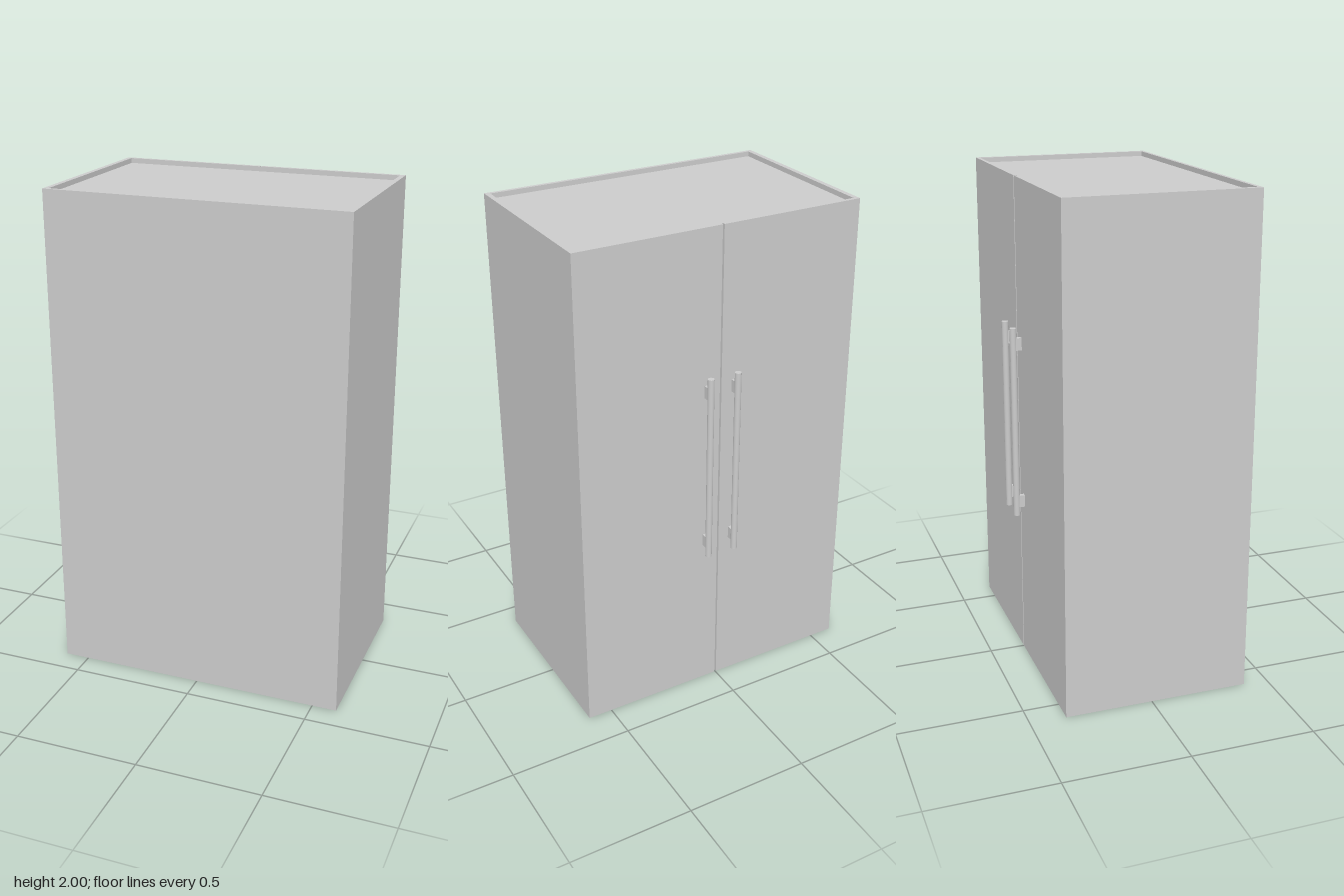
import * as THREE from 'three';

const material = new THREE.MeshStandardMaterial({ color: 0xcccccc });
const BACK = -0.355, FRONT = 0.4, HALF = 0.6;
const TOP = 2, RECESS = 0.02, GAP = 0.004, GROOVE = 0.012;

function addMesh(parent, geometry, name, x = 0, y = 0, z = 0) {
  const mesh = new THREE.Mesh(geometry, material);
  mesh.name = name;
  mesh.position.set(x, y, z);
  parent.add(mesh);
  return mesh;
}

// Plan drawn in (x, -z), so that extruding and tipping it up gives height along y
function polygon(points, Type = THREE.Shape) {
  return new Type(points.map(([x, z]) => new THREE.Vector2(x, -z)));
}

function extrudeUp(shape, height) {
  return new THREE.ExtrudeGeometry(shape, { depth: height, bevelEnabled: false })
    .rotateX(-Math.PI / 2);
}

// Outline of the cabinet with the narrow groove between its two doors
function outline() {
  return polygon([
    [-HALF, FRONT], [HALF, FRONT], [HALF, BACK],
    [GAP, BACK], [GAP, BACK + GROOVE], [-GAP, BACK + GROOVE], [-GAP, BACK],
    [-HALF, BACK],
  ]);
}

function createHandle(x) {
  const handle = new THREE.Group();
  handle.name = 'doorHandle';
  const barZ = -0.387;
  // Upright round bar
  addMesh(handle, new THREE.CylinderGeometry(0.013, 0.013, 0.785, 24), 'handleBar', x, 1.0275, barZ);
  // Mounts joining the bar to the door
  const depth = BACK - barZ;
  for (const y of [0.695, 1.355]) {
    addMesh(handle, new THREE.BoxGeometry(0.018, 0.05, depth), 'handleMount', x, y, BACK - depth / 2);
  }
  return handle;
}

export function createModel() {
  const cabinet = new THREE.Group();
  cabinet.name = 'cabinet';

  // Main body, with the doors facing -z
  addMesh(cabinet, extrudeUp(outline(), TOP - RECESS), 'cabinetBody');

  // Raised rim around the sunken top panel
  const rim = outline();
  const ix = HALF - 0.02, iz0 = BACK + 0.015, iz1 = FRONT - 0.015;
  rim.holes.push(polygon([[-ix, iz0], [ix, iz0], [ix, iz1], [-ix, iz1]], THREE.Path));
  addMesh(cabinet, extrudeUp(rim, RECESS), 'topRim', 0, TOP - RECESS, 0);

  // One handle on each door, beside the groove
  for (const x of [-0.057, 0.062]) cabinet.add(createHandle(x));

  return cabinet;
}
